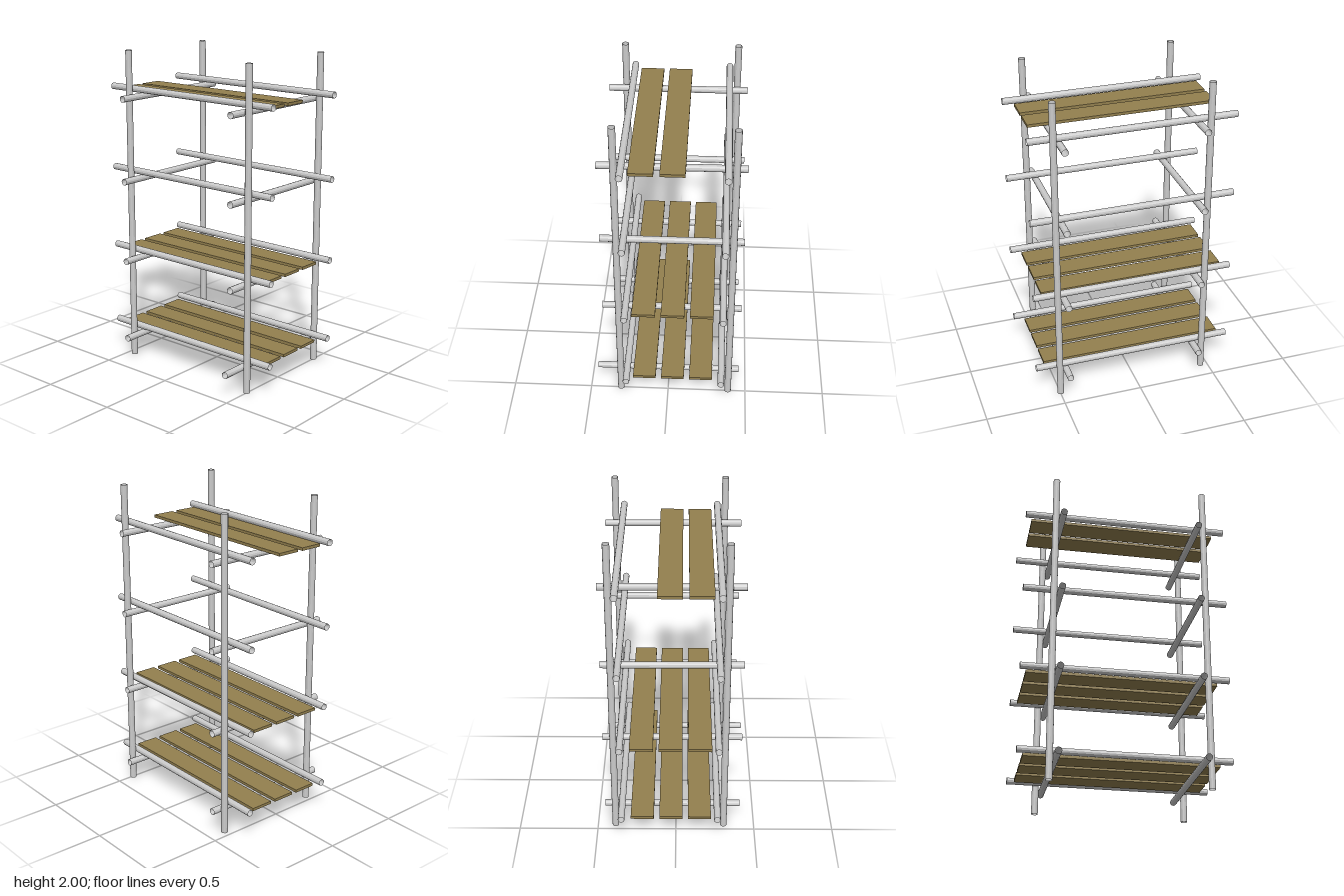
import * as THREE from 'three';

const steel = new THREE.MeshStandardMaterial({ color: 0xcccccc, flatShading: true, side: THREE.DoubleSide });
const wood = new THREE.MeshStandardMaterial({ color: 0x93804f });
const R = 0.021;

// Open-ended tube between two points
function tube(name, from, to) {
  const a = new THREE.Vector3(...from), b = new THREE.Vector3(...to);
  const dir = b.clone().sub(a);
  const mesh = new THREE.Mesh(new THREE.CylinderGeometry(R, R, dir.length(), 12, 1, true), steel);
  mesh.position.copy(a).add(b).multiplyScalar(0.5);
  mesh.quaternion.setFromUnitVectors(new THREE.Vector3(0, 1, 0), dir.normalize());
  mesh.name = name;
  return mesh;
}

export function createModel() {
  const model = new THREE.Group();
  model.name = 'scaffoldTower';

  // Upright poles
  for (const x of [-0.305, 0.387])
    for (const z of [-0.455, 0.497])
      model.add(tube('uprightPole', [x, 0, z], [x, 2, z]));

  // Four levels: cross bars, with long rails resting on top of them
  const planksPerLevel = [3, 3, 0, 2];
  planksPerLevel.forEach((planks, i) => {
    const y = 0.145 + i * 0.522;
    const level = new THREE.Group();
    level.name = 'level' + (i + 1);

    for (const z of [-0.415, 0.445]) {
      const left = i === 0 && z > 0 ? -0.453 : -0.408; // lowest front bar is longer
      level.add(tube('crossBar', [left, y, z], [0.452, y, z]));
    }
    for (const x of [-0.26, 0.34])
      level.add(tube('sideRail', [x, y + 0.045, -0.64], [x, y + 0.045, 0.64]));

    // Walkway planks lying on the cross bars
    for (let p = 0; p < planks; p++) {
      const plank = new THREE.Mesh(new THREE.BoxGeometry(0.144, 0.018, 1.175), wood);
      plank.position.set(-0.148 + p * 0.179, y + 0.03, -0.012);
      plank.name = 'plank';
      level.add(plank);
    }
    model.add(level);
  });
  return model;
}
